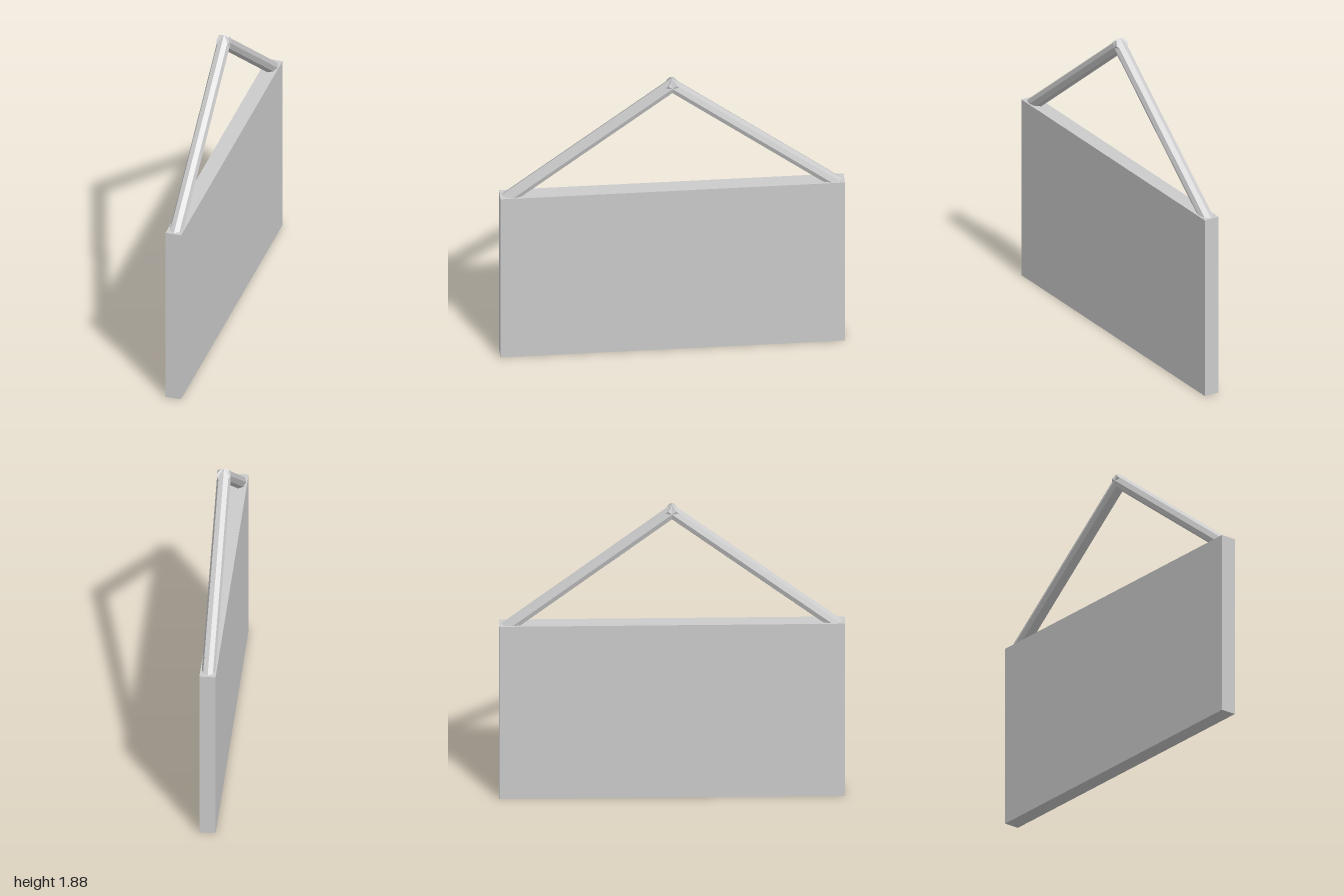
import * as THREE from 'three';

export function createModel() {
  const model = new THREE.Group();
  const material = new THREE.MeshStandardMaterial({ color: 0xcccccc, flatShading: true });

  // Upright slab standing on the ground
  const panelHeight = 1.115;
  const panel = new THREE.Mesh(new THREE.BoxGeometry(0.094, panelHeight, 2), material);
  panel.name = 'panel';
  panel.position.y = panelHeight / 2;
  model.add(panel);

  // Two eight-sided bars rising from the panel ends and crossing at the peak
  const up = new THREE.Vector3(0, 1, 0);
  for (const side of [1, -1]) {
    const foot = new THREE.Vector3(0, 1.082, side * 0.965);
    const tip = new THREE.Vector3(0, 1.847, side * -0.024);
    const axis = tip.clone().sub(foot);
    const bar = new THREE.Mesh(new THREE.CylinderGeometry(0.04, 0.04, axis.length(), 8), material);
    bar.name = side > 0 ? 'frontBar' : 'backBar';
    bar.position.copy(foot).add(tip).multiplyScalar(0.5);
    bar.quaternion.setFromUnitVectors(up, axis.normalize());
    model.add(bar);
  }

  return model;
}
